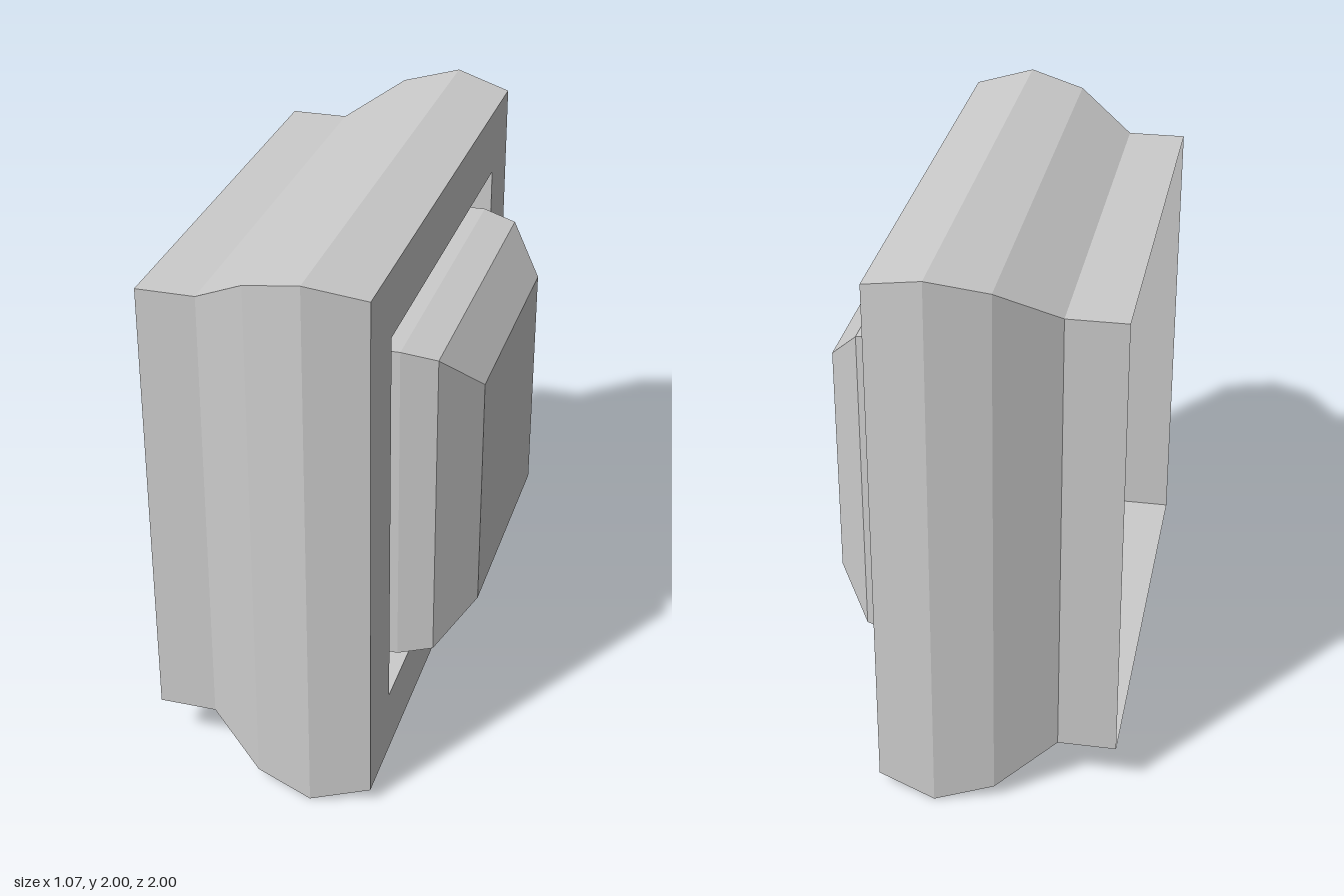
import * as THREE from 'three';

const material = new THREE.MeshStandardMaterial({
  color: 0xcccccc, flatShading: true, side: THREE.DoubleSide,
});

// Sweeps a profile of [x, half width] points around the x axis as a square shell.
function squareShell(name, profile) {
  const points = profile.map(([x, half]) => new THREE.Vector2(half * Math.SQRT2, x));
  const geometry = new THREE.LatheGeometry(points, 4, Math.PI / 4);
  geometry.rotateZ(-Math.PI / 2);
  const flat = geometry.toNonIndexed();
  flat.computeVertexNormals();
  const mesh = new THREE.Mesh(flat, material);
  mesh.name = name;
  mesh.position.y = 1;
  return mesh;
}

export function createModel() {
  const model = new THREE.Group();
  model.name = 'squareButton';

  // Housing, open at the back, with a bulging rim and a flat face
  model.add(squareShell('housing', [
    [-0.537, 0.828], [-0.33, 0.828], [-0.125, 0.953],
    [0.08, 1], [0.287, 0.952], [0.287, 0.713],
  ]));

  // Recessed channel between the face and the button
  model.add(squareShell('channel', [
    [0.287, 0.713], [-0.13, 0.713], [-0.13, 0.605],
  ]));

  // Hollow button with a bevelled cap
  model.add(squareShell('button', [
    [-0.13, 0.605], [0.287, 0.605], [0.41, 0.578], [0.535, 0.433], [0.535, 0],
  ]));

  return model;
}
